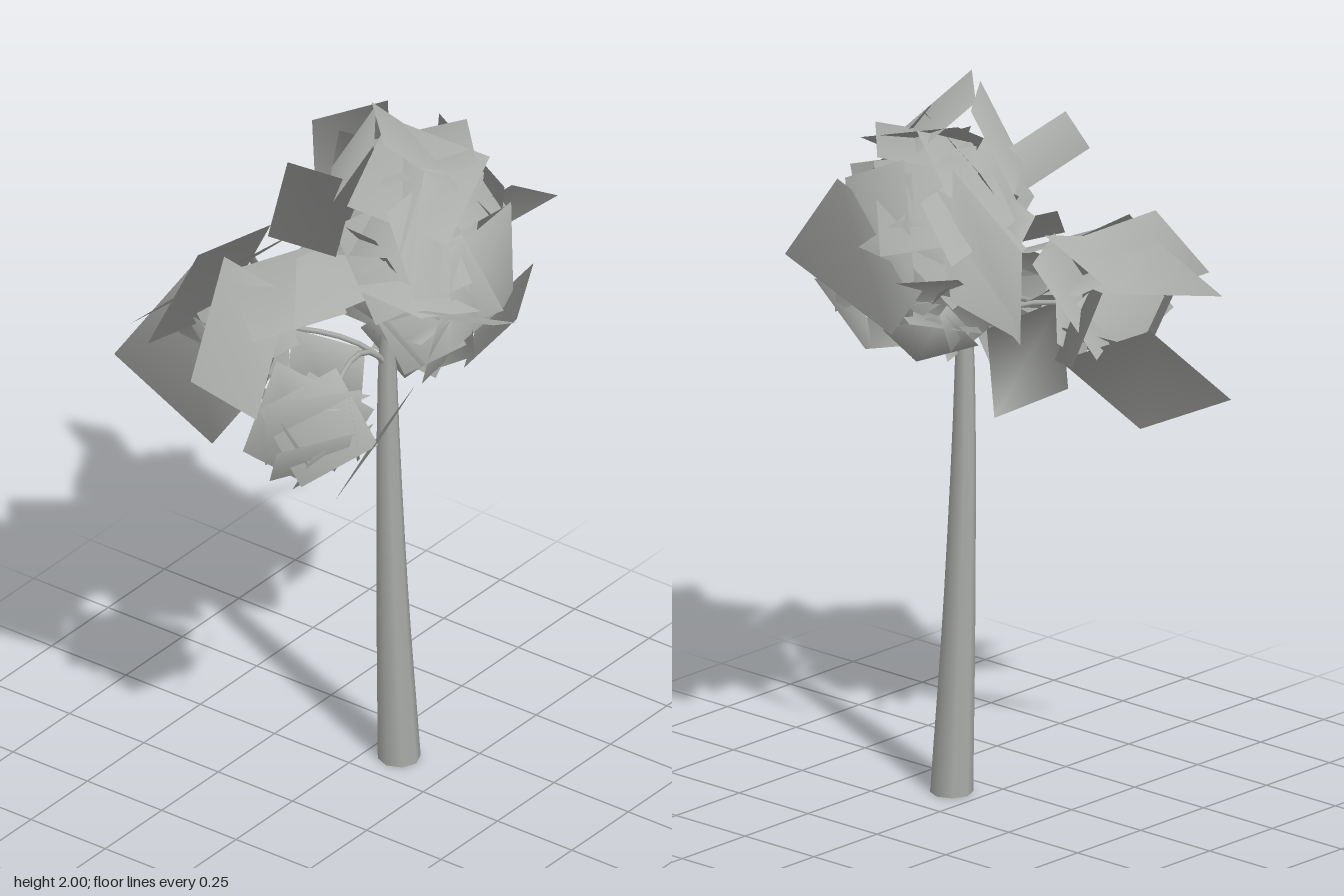
import * as THREE from 'three';
import { mergeGeometries } from 'three/addons/utils/BufferGeometryUtils.js';

const V = (x, y, z) => new THREE.Vector3(x, y, z);
const grey = new THREE.MeshStandardMaterial({ color: 0xabadaa, side: THREE.DoubleSide });
grey.name = 'stone grey';

// Small repeatable number generator
function seeded(seed) {
  return () => {
    seed = (seed * 16807) % 2147483647;
    return seed / 2147483647;
  };
}

// Parallelogram leaf from three corners (b and c adjoin a). Its front is its outer side,
// or its underside when hanging; normals fan out from the cluster's centre.
function leaf(a, b, c, centre, hanging = false) {
  const d = b.clone().add(c).sub(a);
  const face = b.clone().sub(a).cross(c.clone().sub(a)).normalize();
  const middle = b.clone().add(c).multiplyScalar(0.5).sub(centre);
  const front = hanging ? face.y < 0 : face.dot(middle) >= 0;
  if (!front) face.negate();
  const corners = [a, b, c, d];
  const normals = corners.flatMap((p) =>
    p.clone().sub(centre).normalize().addScaledVector(face, 0.4).normalize().toArray());
  const geometry = new THREE.BufferGeometry().setFromPoints(corners);
  geometry.setAttribute('normal', new THREE.Float32BufferAttribute(normals, 3));
  geometry.setIndex(front ? [0, 1, 2, 2, 1, 3] : [0, 2, 1, 2, 3, 1]);
  return geometry;
}

// Tilted leaves scattered evenly over an ellipsoid
function scatter(middle, radii, count, size, seed, centre) {
  const random = seeded(seed), leaves = [];
  for (let i = 0; i < count; i++) {
    const y = 1 - 2 * (i + 0.5) / count, r = Math.sqrt(1 - y * y), turn = i * 2.4;
    const out = V(r * Math.cos(turn), y, r * Math.sin(turn));
    const p = out.clone().multiply(radii).add(middle);
    out.add(V(random() - 0.5, random() - 0.5, random() - 0.5).multiplyScalar(0.8)).normalize();
    const u = V(random() - 0.5, 0.3, random() - 0.5).cross(out).normalize();
    const w = out.clone().cross(u);
    const s = size * (0.8 + 0.4 * random()) / 2;
    u.multiplyScalar(s);
    w.multiplyScalar(s);
    leaves.push(leaf(
      p.clone().sub(u).sub(w), p.clone().add(u).sub(w), p.clone().sub(u).add(w), centre));
  }
  return leaves;
}

// Large outer leaves: three corners per row
const CROWN = [
  [0.35, 1.7, -0.39, 0.33, 1.87, -0.12, 0.27, 1.4, -0.31],
  [0.28, 1.78, 0.0, 0.3, 1.74, -0.26, 0.26, 1.46, -0.05],
  [0.36, 1.87, 0.03, 0.32, 1.75, 0.28, 0.33, 1.52, 0.02],
  [-0.07, 1.82, 0.18, 0.23, 1.84, 0.17, -0.06, 1.52, 0.29],
  [0.05, 1.68, 0.3, 0.35, 1.69, 0.28, 0.06, 1.37, 0.3],
  [-0.03, 2.0, 0.14, 0.14, 1.99, -0.03, 0.12, 1.82, 0.28],
  [-0.02, 1.98, 0.1, 0.16, 1.97, -0.03, -0.06, 1.76, -0.02],
  [-0.21, 1.65, 0.16, 0.05, 1.55, 0.17, -0.16, 1.6, 0.36],
  [0.08, 1.66, -0.12, 0.39, 1.62, -0.17, 0.05, 1.8, 0.02],
  [0.06, 1.23, 0.2, 0.3, 1.28, 0.2, 0.04, 1.46, 0.27],
];
const CROWN_HANGING = [
  [0.57, 1.6, 0.27, 0.42, 1.39, 0.02, 0.34, 1.75, 0.29],
  [-0.05, 1.62, 0.6, -0.2, 1.66, 0.41, 0.1, 1.47, 0.41],
  [0.23, 1.42, 0.39, 0.41, 1.48, 0.31, 0.18, 1.24, 0.25],
  [-0.28, 1.76, -0.06, -0.14, 1.91, -0.1, -0.11, 1.65, 0.04],
];
const LEFT = [
  [-0.47, 1.2, 0.0, -0.32, 1.41, 0.0, -0.34, 1.08, 0.1],
];
const LEFT_HANGING = [
  [-0.57, 1.31, 0.19, -0.39, 1.33, 0.31, -0.47, 1.14, 0.09],
  [-0.38, 1.35, 0.4, -0.14, 1.37, 0.33, -0.39, 1.1, 0.25],
  [-0.49, 1.39, 0.09, -0.26, 1.38, 0.24, -0.45, 1.17, 0.06],
];
const BACK = [
  [-0.25, 1.18, -0.6, -0.05, 1.4, -0.49, -0.25, 1.02, -0.27],
  [-0.47, 1.42, -0.32, -0.3, 1.63, -0.28, -0.2, 1.4, -0.28],
  [-0.39, 1.4, -0.44, -0.08, 1.46, -0.33, -0.3, 1.55, -0.27],
  [0.14, 1.32, -0.38, 0.02, 1.5, -0.38, -0.02, 1.25, -0.17],
  [-0.53, 1.4, -0.13, -0.25, 1.62, -0.23, -0.45, 1.3, 0.03],
  [-0.26, 1.58, -0.22, 0.04, 1.56, -0.13, -0.4, 1.5, -0.02],
  [-0.28, 1.5, 0.03, -0.14, 1.62, -0.07, 0.0, 1.5, 0.1],
  [-0.15, 1.55, -0.05, 0.08, 1.55, -0.18, -0.22, 1.3, -0.22],
  [-0.15, 1.12, -0.1, -0.01, 1.04, 0.04, -0.12, 1.38, -0.1],
];

function foliage(name, centre, outer, hanging, fill) {
  const build = (rows, hangs) => rows.map((r) =>
    leaf(V(r[0], r[1], r[2]), V(r[3], r[4], r[5]), V(r[6], r[7], r[8]), centre, hangs));
  const leaves = [...build(outer, false), ...build(hanging, true), ...fill];
  const mesh = new THREE.Mesh(mergeGeometries(leaves), grey);
  mesh.name = name;
  return mesh;
}

export function createModel() {
  const group = new THREE.Group();
  group.name = 'tree';

  // Tapered, slightly leaning trunk
  const path = new THREE.CatmullRomCurve3([
    V(0.107, 0, 0.088), V(0.073, 0.55, 0.09), V(0.055, 1.2, 0.088), V(0.1, 1.65, 0.06)]);
  const trunkGeometry = new THREE.CylinderGeometry(1, 1, 1, 8, 12);
  const position = trunkGeometry.attributes.position;
  for (let i = 0; i < position.count; i++) {
    const t = position.getY(i) + 0.5, p = path.getPoint(t), r = 0.058 - 0.047 * t;
    position.setXYZ(i, p.x + position.getX(i) * r, p.y, p.z + position.getZ(i) * r);
  }
  const trunk = new THREE.Mesh(trunkGeometry, grey);
  trunk.name = 'trunk';
  group.add(trunk);

  // Thin branches reaching the two side clusters
  for (const [name, end] of [['leftBranch', V(-0.28, 1.27, 0.14)], ['backBranch', V(-0.18, 1.36, -0.25)]]) {
    const curve = new THREE.QuadraticBezierCurve3(V(0.055, 1.25, 0.088), V(-0.05, 1.42, 0.05), end);
    const branch = new THREE.Mesh(new THREE.TubeGeometry(curve, 8, 0.008, 6), grey);
    branch.name = name;
    group.add(branch);
  }

  // Leaf clusters
  const crown = V(0.12, 1.32, 0.08), left = V(-0.2, 1.2, 0.05), back = V(-0.02, 1.1, -0.05);
  group.add(
    foliage('crownLeaves', crown, CROWN, CROWN_HANGING, [
      ...scatter(V(0.16, 1.62, 0.1), V(0.14, 0.24, 0.15), 20, 0.27, 11, crown),
      ...scatter(V(0.13, 1.36, 0.13), V(0.1, 0.07, 0.1), 6, 0.18, 5, crown)]),
    foliage('leftLeaves', left, LEFT, LEFT_HANGING,
      scatter(V(-0.31, 1.24, 0.13), V(0.1, 0.08, 0.09), 8, 0.2, 23, left)),
    foliage('backLeaves', back, BACK, [],
      scatter(V(-0.18, 1.37, -0.2), V(0.1, 0.1, 0.08), 6, 0.23, 37, back)));
  return group;
}
